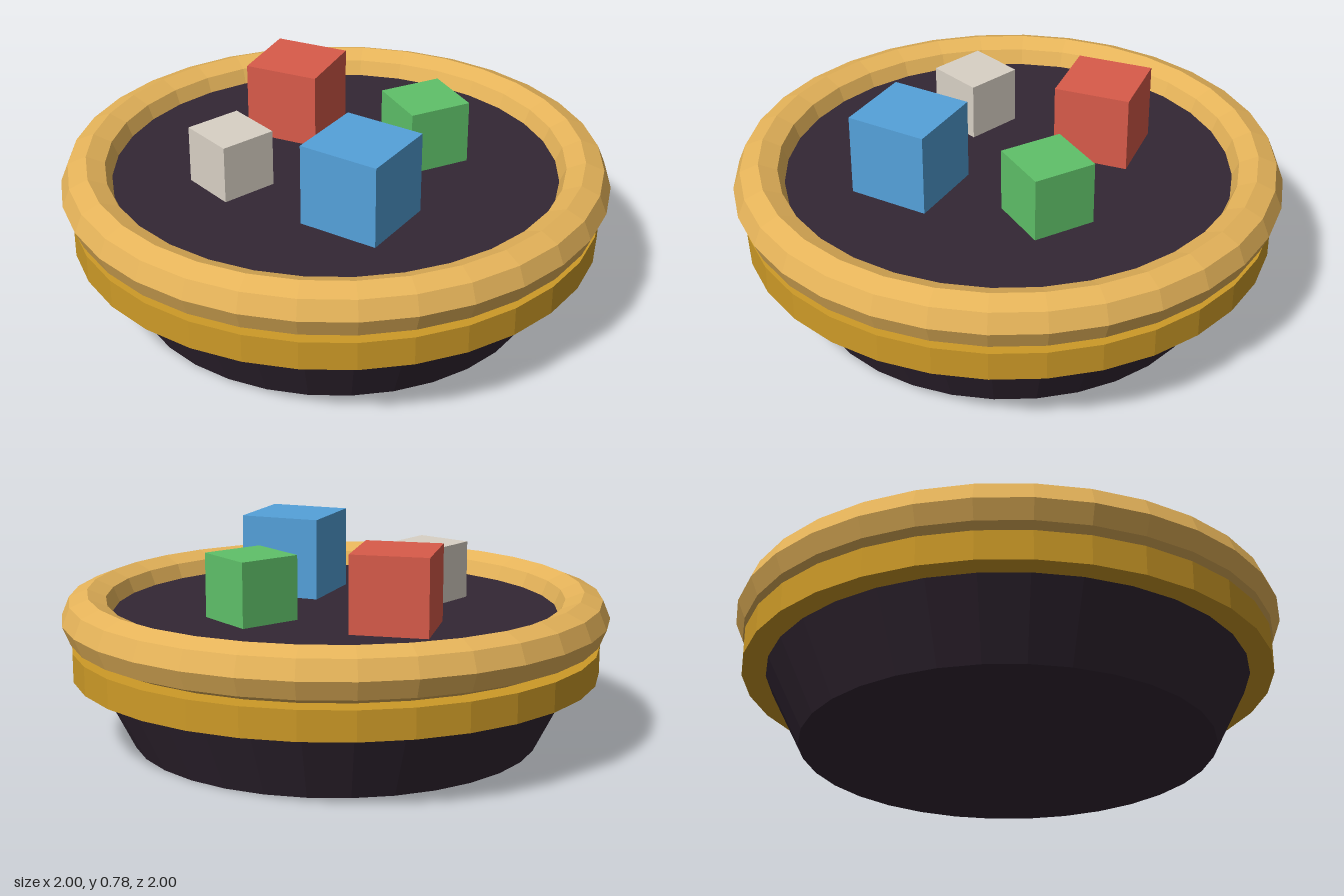
import * as THREE from 'three';

const SEGMENTS = 32;

function material(name, color) {
  const m = new THREE.MeshStandardMaterial({ color, flatShading: true });
  m.name = name;
  return m;
}

export function createModel() {
  const group = new THREE.Group();
  group.name = 'trayWithBlocks';

  const dark = material('darkPlum', 0x332734);
  const gold = material('deepGold', 0xcd9a27);
  const paleGold = material('paleGold', 0xe6b45a);

  const add = (name, geometry, mat, x, y, z) => {
    const mesh = new THREE.Mesh(geometry, mat);
    mesh.name = name;
    mesh.position.set(x, y, z);
    group.add(mesh);
    return mesh;
  };

  // Tapered bowl, widening upwards into the band
  add('bowl', new THREE.CylinderGeometry(0.93, 0.75, 0.36, SEGMENTS), dark, 0, 0.18, 0);

  // Straight band under the rim
  add('band', new THREE.CylinderGeometry(0.967, 0.967, 0.105, SEGMENTS), gold, 0, 0.3125, 0);

  // Eight-sided rolled rim
  const rim = new THREE.TorusGeometry(0.905, 0.095, 8, SEGMENTS).rotateX(Math.PI / 2);
  add('rim', rim, paleGold, 0, 0.465, 0);

  // Inner floor the blocks stand on
  const floorTop = 0.477;
  add('floor', new THREE.CylinderGeometry(0.82, 0.82, 0.13, SEGMENTS), dark, 0, floorTop - 0.065, 0);

  // Loose cubes: name, colour, size, x, z, turn
  const blocks = [
    ['redBlock', 0xd95b4a, 0.28, -0.345, -0.175, 0.29],
    ['greenBlock', 0x5fc169, 0.235, 0.172, -0.303, -0.4],
    ['blueBlock', 0x54a1da, 0.302, 0.3, 0.212, 0.14],
    ['whiteBlock', 0xd9d1c5, 0.213, -0.215, 0.323, -0.17],
  ];
  for (const [name, color, size, x, z, turn] of blocks) {
    const cube = new THREE.BoxGeometry(size, size, size);
    add(name, cube, material(name + 'Paint', color), x, floorTop + size / 2, z).rotation.y = turn;
  }

  return group;
}
